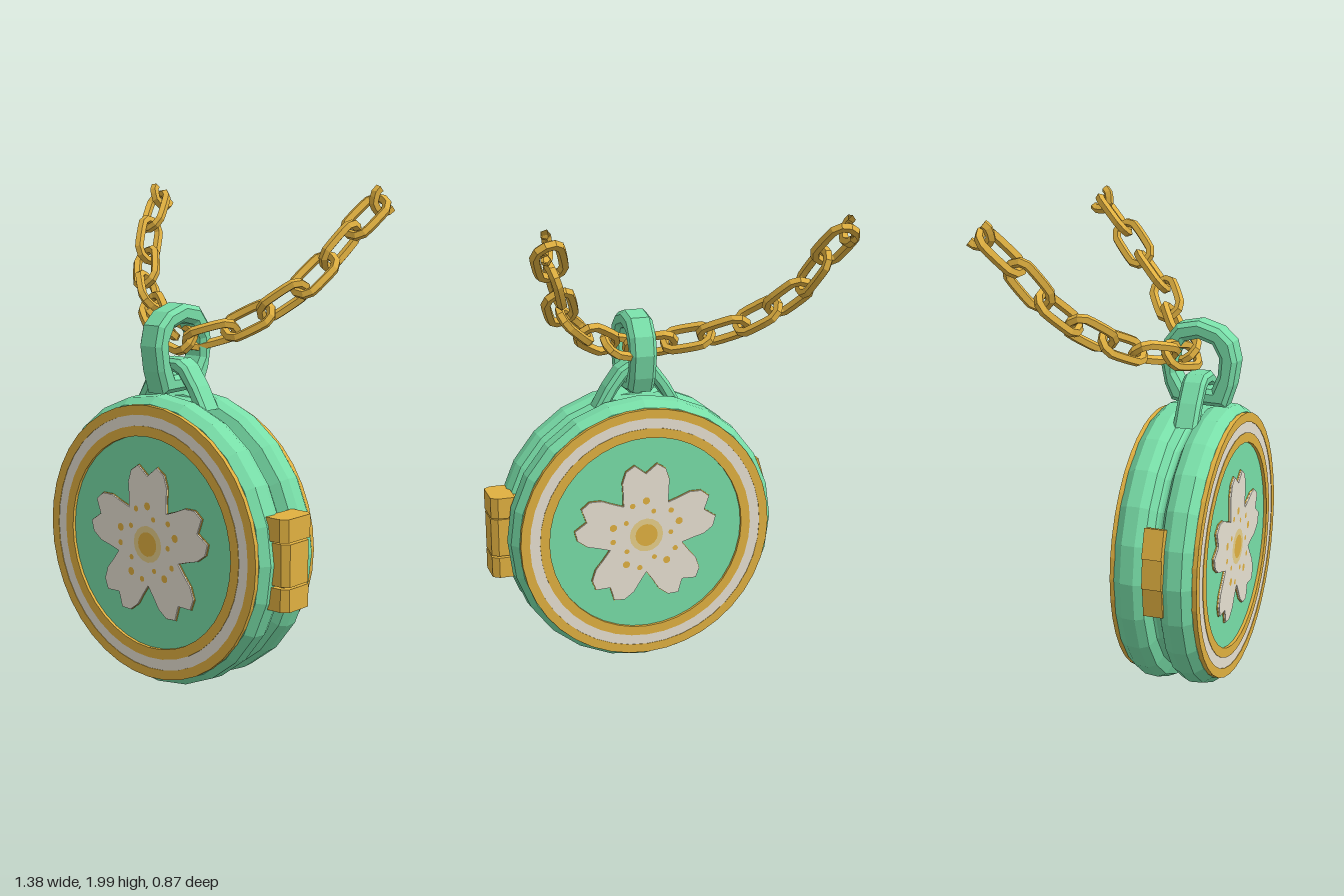
import * as THREE from 'three';

const mat = (name, color, side = THREE.FrontSide) => {
  const m = new THREE.MeshStandardMaterial({ color, flatShading: true, side });
  m.name = name;
  return m;
};

export function createModel() {
  const green = mat('mint green', 0x78dea8);
  const gold = mat('gold', 0xe0b040, THREE.DoubleSide);
  const cream = mat('cream', 0xf0e9da);
  const pale = mat('pale yellow', 0xedd48c);

  const model = new THREE.Group();
  model.name = 'locket';
  const add = (parent, name, geo, material, x = 0, y = 0, z = 0) => {
    const mesh = new THREE.Mesh(geo, material);
    mesh.name = name;
    mesh.position.set(x, y, z);
    parent.add(mesh);
    return mesh;
  };
  const shapeOf = pts => new THREE.Shape(pts.map(p => new THREE.Vector2(...p)));
  const extrude = (shape, depth, bevel = 0) => new THREE.ExtrudeGeometry(shape, {
    depth: depth - 2 * bevel, bevelEnabled: bevel > 0, bevelThickness: bevel,
    bevelSize: bevel, bevelOffset: -bevel, bevelSegments: 1, curveSegments: 10,
  }).translate(0, 0, bevel);
  // Lathe turned so that its axis runs along z
  const turned = (pts, sides) => new THREE.LatheGeometry(
    pts.map(p => new THREE.Vector2(...p)), sides).rotateX(Math.PI / 2);

  const body = new THREE.Group();
  body.name = 'body';
  body.position.set(0.042, 0.605, 0.255);
  model.add(body);

  // Five notched petals as one outline
  const flower = grow => {
    const petal = [[0.17, -36], [0.215, -28], [0.262, -23.5], [0.303, -17], [0.319, -9],
      [0.276, 0], [0.319, 9], [0.303, 17], [0.262, 23.5], [0.215, 28]];
    const pts = [];
    for (let i = 0; i < 5; i++) for (const [r, deg] of petal) {
      const a = Math.PI / 2 + i * Math.PI * 0.4 + THREE.MathUtils.degToRad(deg);
      pts.push([(r + grow) * Math.cos(a), (r + grow) * Math.sin(a)]);
    }
    return shapeOf(pts);
  };

  // Two mirrored halves, each with rim bands and a flower
  for (const side of ['front', 'back']) {
    const half = new THREE.Group();
    half.name = side + 'Half';
    if (side === 'back') half.rotation.y = Math.PI;
    body.add(half);
    add(half, 'shell', turned([[0.52, -0.01], [0.53, 0.015], [0.572, 0.035], [0.588, 0.07],
      [0.584, 0.125], [0.557, 0.16], [0.52, 0.165], [0, 0.165]], 24), green);

    const band = (name, r0, r1, top, material) => add(half, name,
      turned([[r1, 0.155], [r1, top], [r0, top], [r0, 0.155]], 40), material);
    band('outerGoldBand', 0.515, 0.554, 0.178, gold);
    band('creamBand', 0.47, 0.516, 0.176, cream);
    band('innerGoldBand', 0.43, 0.471, 0.178, gold);

    add(half, 'flowerEdge', extrude(flower(0.003), 0.006), gold, -0.004, -0.005, 0.164);
    add(half, 'flower', extrude(flower(0), 0.009), cream, -0.004, -0.005, 0.167);
    const dot = (name, r, x, y, z, m) =>
      add(half, name, new THREE.CircleGeometry(r, 16), m, x - 0.004, y - 0.005, z);
    dot('flowerGlow', 0.075, 0, 0, 0.1775, pale);
    dot('flowerCentre', 0.05, 0, 0, 0.179, gold);
    for (let i = 0; i < 5; i++) {
      for (const [r, da, size] of [[0.155, 0, 0.016], [0.15, 0.42, 0.012], [0.11, -0.3, 0.011]]) {
        const a = Math.PI / 2 + i * Math.PI * 0.4 + da;
        dot('stamen', size, r * Math.cos(a), r * Math.sin(a), 0.1775, gold);
      }
    }
  }
  add(body, 'core', new THREE.CylinderGeometry(0.526, 0.526, 0.06, 24).rotateX(Math.PI / 2), green);

  // Hinge of three knuckles on the left, small clasp on the right
  for (const [y, h, w] of [[0.745, 0.09, 0.17], [0.61, 0.165, 0.15], [0.475, 0.09, 0.155]]) {
    const plate = shapeOf([[0.585, -w / 2], [0.66, -w / 2], [0.688, -w / 2 + 0.02],
      [0.688, w / 2 - 0.02], [0.66, w / 2], [0.585, w / 2]]);
    add(model, 'hingeKnuckle', extrude(plate, h).rotateX(-Math.PI / 2), gold, 0, y - h / 2, 0.288);
  }
  add(model, 'hingeLeaf', new THREE.BoxGeometry(0.1, 0.33, 0.11), gold, 0.61, 0.61, 0.288);
  for (let i = -1; i <= 1; i++) {
    const clasp = add(model, 'clasp', new THREE.BoxGeometry(0.05, 0.12, 0.08), gold,
      0.037 - 0.565 * Math.cos(i * 0.2), 0.66 + 0.115 * i, 0.265);
    clasp.rotation.z = -(i * 0.2 + 0.08);
  }

  // Arched eye on top of the body
  const arch = shapeOf([[-0.19, 0], [0.19, 0], [0.14, 0.09], [0.085, 0.165], [0.045, 0.19],
    [-0.045, 0.19], [-0.085, 0.165], [-0.14, 0.09]]);
  arch.holes.push(new THREE.Path([[-0.115, 0.03], [-0.085, 0.075], [-0.045, 0.125], [-0.02, 0.137],
    [0.02, 0.137], [0.045, 0.125], [0.085, 0.075], [0.115, 0.03]].map(p => new THREE.Vector2(...p))));
  add(model, 'eye', extrude(arch, 0.1, 0.015), green, 0.037, 1.14, 0.205);

  // Bail loop, drawn in the z-y plane
  const bail = shapeOf([[0.2, 1.205], [0.38, 1.2], [0.41, 1.29], [0.425, 1.39], [0.405, 1.47], [0.35, 1.52],
    [0.26, 1.548], [0.17, 1.53], [0.115, 1.46], [0.1, 1.38], [0.12, 1.28], [0.15, 1.215]]);
  bail.holes.push(new THREE.Path([[0.2, 1.27], [0.165, 1.33], [0.165, 1.4], [0.2, 1.46],
    [0.26, 1.475], [0.32, 1.455], [0.35, 1.4], [0.345, 1.33], [0.32, 1.27]].map(p => new THREE.Vector2(...p))));
  add(model, 'bail', extrude(bail, 0.115, 0.018).rotateY(-Math.PI / 2), green, 0.099, 0, 0);

  // Chain: oval links along a curve, each turned a quarter from the last
  const chain = new THREE.Group();
  chain.name = 'chain';
  model.add(chain);
  const path = new THREE.CatmullRomCurve3([
    [-0.655, 1.98, -0.425], [-0.61, 1.88, -0.31], [-0.53, 1.69, -0.17], [-0.42, 1.57, -0.06],
    [-0.28, 1.48, 0.05], [-0.1, 1.425, 0.16], [0.04, 1.4, 0.205], [0.15, 1.425, 0.14],
    [0.29, 1.5, 0.05], [0.42, 1.61, -0.05], [0.48, 1.73, -0.17], [0.54, 1.88, -0.31],
    [0.59, 1.98, -0.425]].map(p => new THREE.Vector3(...p)));
  const half = 0.1, wide = 0.05, wire = 0.02, bend = 0.035;
  const loop = (pts, closed, steps) => new THREE.TubeGeometry(new THREE.CatmullRomCurve3(
    pts.map(([x, y]) => new THREE.Vector3(x, y, 0)), closed, 'catmullrom', 0.3), steps, wire, 5, closed);
  const turn = [[half - bend, -wide], [half, -0.022], [half, 0.022], [half - bend, wide]];
  const linkGeo = loop([...turn, ...turn.map(([x, y]) => [-x, -y])], true, 16);
  const endGeo = loop([[0.045, -wide], ...turn, [0.045, wide]], false, 8);
  const count = 15;
  for (let i = 0; i < count; i++) {
    const t = i / (count - 1);
    const along = path.getTangentAt(t);
    if (i === count - 1) along.negate();
    const across = new THREE.Vector3(0, 0.7, 0.7).cross(along).normalize();
    const normal = along.clone().cross(across);
    // The chain is cut through its first and last links
    const cut = i === 0 || i === count - 1;
    const link = add(chain, cut ? 'cutLink' : 'link', cut ? endGeo : linkGeo, gold);
    link.quaternion.setFromRotationMatrix(new THREE.Matrix4().makeBasis(along, across, normal));
    link.rotateX(i % 2 ? 0.2 : Math.PI / 2 + 0.2);
    link.position.copy(path.getPointAt(t));
  }
  return model;
}
